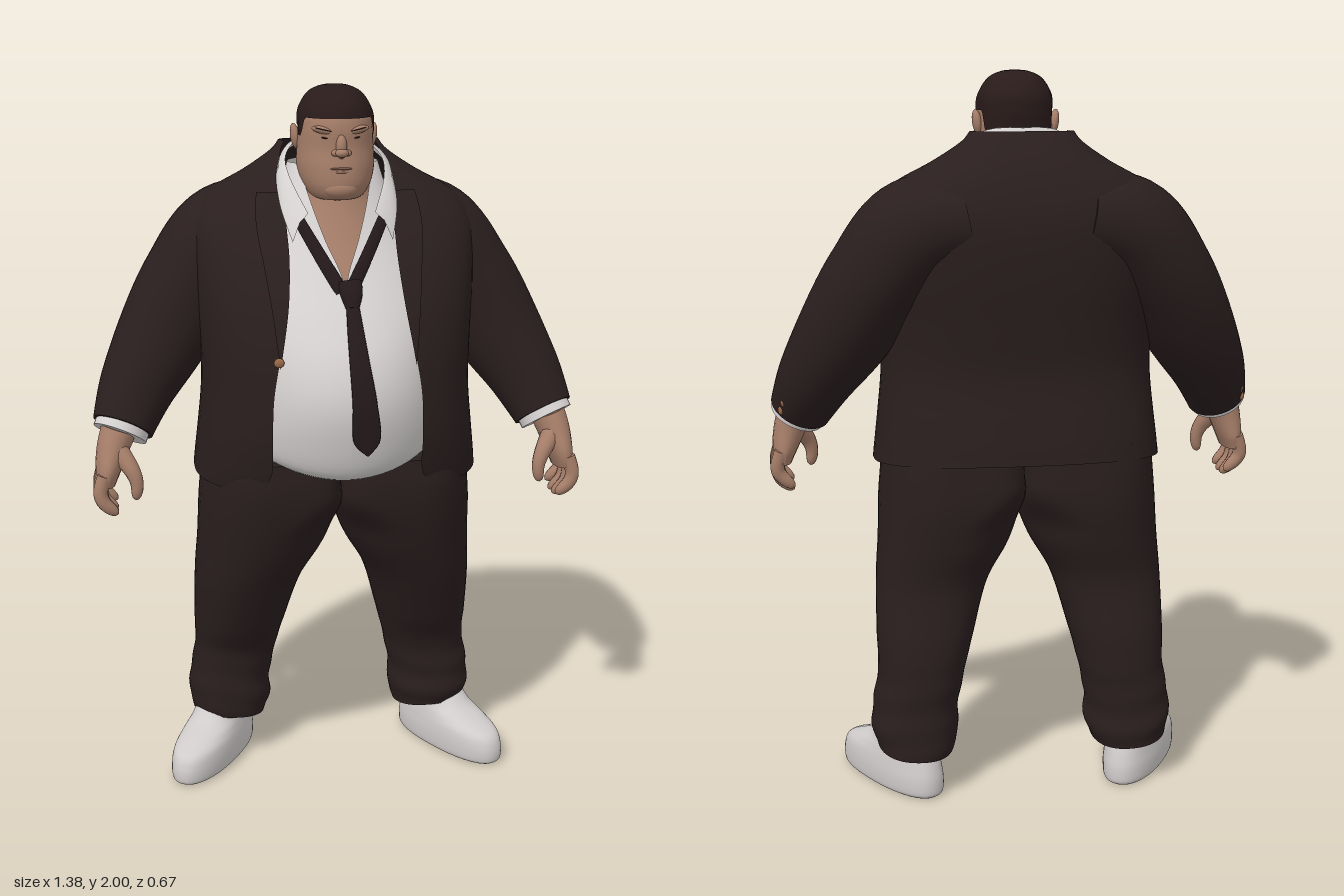
import * as THREE from 'three';

const V = (x, y, z) => new THREE.Vector3(x, y, z);
const mat = (name, color) => {
  const m = new THREE.MeshStandardMaterial({ color, side: THREE.DoubleSide });
  m.name = name;
  return m;
};
const spow = (v, e) => Math.sign(v) * Math.pow(Math.abs(v), e);
const smooth = THREE.MathUtils.smoothstep;

// Catmull-Rom through rows of numbers, t from 0 to 1
function spline(rows, t) {
  const n = rows.length - 1, f = Math.min(t * n, n - 1e-6), i = Math.floor(f), k = f - i;
  const at = (j) => rows[Math.min(n, Math.max(0, i + j))];
  return rows[i].map((b, c) => {
    const a = at(-1)[c], d = at(1)[c], g = at(2)[c];
    return b + 0.5 * k * (d - a + k * (2 * a - 5 * b + 4 * d - g + k * (3 * (b - d) + g - a)));
  });
}

// Skin over rows of points; closed rows wrap round
function surface(rows, closed) {
  const n = rows[0].length, idx = [];
  for (let i = 0; i < rows.length - 1; i++) {
    for (let j = 0; j < (closed ? n : n - 1); j++) {
      const a = i * n + j, b = i * n + (j + 1) % n;
      idx.push(a, b, b + n, a, b + n, a + n);
    }
  }
  const g = new THREE.BufferGeometry().setFromPoints(rows.flat());
  g.setIndex(idx);
  g.computeVertexNormals();
  return g;
}
const centre = (row) => row.reduce((s, p) => s.add(p), V(0, 0, 0)).divideScalar(row.length);
function closeEnds(rows) {
  const first = rows[0], last = rows[rows.length - 1], dup = (r) => r.map((p) => p.clone());
  const a = centre(first), b = centre(last);
  return [first.map(() => a.clone()), dup(first), ...rows, dup(last), last.map(() => b.clone())];
}

// Ring: centre x, y, centre z, half width, front z, back z, half opening. Angle 0 faces front.
function ringPoint([cx, y, cz, rx, zf, zb], a, e) {
  const c = Math.cos(a);
  return V(cx + rx * spow(Math.sin(a), e), y, cz + (c > 0 ? zf - cz : cz - zb) * spow(c, e));
}
const openAngle = (x, rx, e) => Math.asin(Math.pow(Math.min(1, Math.max(0, x) / rx), 1 / e));
function loft(rings, { e = 0.9, seg = 48, rows = 48, open = false, cap = false, warp } = {}) {
  const out = [];
  for (let i = 0; i <= rows; i++) {
    const r = spline(rings, i / rows), a0 = open ? openAngle(r[6], r[3], e) : 0, row = [];
    for (let j = 0; j < seg + (open ? 1 : 0); j++) {
      const a = a0 + (2 * Math.PI - 2 * a0) * j / seg, p = ringPoint(r, a, e);
      if (warp) warp(p, a, r);
      row.push(p);
    }
    out.push(row);
  }
  return surface(cap ? closeEnds(out) : out, !open);
}

// Limb along points [x, y, z, radius toward z, radius across]
function limb(pts, { seg = 20, rows = 24, round = false } = {}) {
  const out = [], pos = (t) => V(...spline(pts, t).slice(0, 3));
  for (let i = 0; i <= rows; i++) {
    const t = i / rows, s = spline(pts, t), c = pos(t);
    const d = pos(Math.min(1, t + 0.01)).sub(pos(Math.max(0, t - 0.01))).normalize();
    const u = V(0, 0, 1).addScaledVector(d, -d.z).normalize(), v = d.clone().cross(u);
    const k = round && t > 0.75 ? Math.sqrt(Math.max(0.02, 1 - ((t - 0.75) * 4) ** 2)) : 1;
    out.push(Array.from({ length: seg }, (_, j) => {
      const a = 2 * Math.PI * j / seg;
      return c.clone().addScaledVector(u, s[3] * k * Math.cos(a)).addScaledVector(v, s[4] * k * Math.sin(a));
    }));
  }
  return surface(closeEnds(out), true);
}

export function createModel() {
  const root = new THREE.Group();
  const suit = mat('suit cloth', 0x2a1e1e), shirt = mat('shirt cloth', 0xd8d3d3);
  const skin = mat('skin', 0xa67e69), hair = mat('hair', 0x291b1a), tieMat = mat('tie cloth', 0x24191a);
  const shoeMat = mat('shoe', 0xd0cbcb), gold = mat('button', 0x9a6a48), lip = mat('lips', 0x946c5a);
  const add = (name, geo, m) => {
    const o = new THREE.Mesh(geo, m);
    o.name = name;
    root.add(o);
    return o;
  };
  const blob = (name, m, p, s, rz = 0) => {
    const o = add(name, new THREE.SphereGeometry(1, 20, 14), m);
    o.position.set(...p);
    o.scale.set(...s);
    o.rotation.z = rz;
  };

  // Jacket, open at the front with rounded hem corners
  const jacket = [
    [0, 0.915, -0.03, 0.402, 0.225, -0.318, 0.30], [0, 0.935, -0.03, 0.40, 0.235, -0.316, 0.235],
    [0, 0.985, -0.03, 0.395, 0.252, -0.312, 0.206],
    [0, 1.08, -0.03, 0.385, 0.272, -0.30, 0.205], [0, 1.20, -0.03, 0.375, 0.275, -0.285, 0.20],
    [0, 1.32, -0.03, 0.378, 0.262, -0.30, 0.18], [0, 1.44, -0.05, 0.388, 0.225, -0.32, 0.16],
    [0, 1.55, -0.07, 0.395, 0.162, -0.33, 0.15], [0, 1.63, -0.09, 0.39, 0.10, -0.325, 0.15],
    [0, 1.70, -0.11, 0.345, 0.035, -0.30, 0.15], [0, 1.76, -0.12, 0.24, -0.02, -0.265, 0.15],
    [0, 1.81, -0.135, 0.165, -0.075, -0.22, 0.14], [0, 1.84, -0.14, 0.14, -0.11, -0.185, 0.125]];
  add('jacket', loft(jacket, {
    e: 0.8, open: true, seg: 72, rows: 72,
    warp: (p, a) => { p.y += 0.025 * (1 - Math.cos(a)) * Math.max(0, 1 - (p.y - 0.915) / 0.2); },
  }), suit);

  // Lapels lie just above the jacket front
  for (const s of [1, -1]) {
    const rows = [];
    for (let i = 0; i <= 24; i++) {
      const k = i / 24, r = spline(jacket, 0.39 + 0.38 * k), w = 0.08 * Math.sin(Math.PI * 0.65 * k);
      rows.push([0, 0.5, 1].map((f) => {
        const p = ringPoint(r, openAngle(r[6] - 0.004 + w * f, r[3], 0.8), 0.8);
        return V(s * p.x, p.y, p.z + 0.006);
      }));
    }
    add('lapel', surface(rows, false), suit);
  }

  // Shirt over the belly, open at the throat, with a curved lower edge
  add('shirt', loft([
    [0, 0.955, 0, 0.28, 0.215, -0.22, 0], [0, 0.985, 0, 0.30, 0.28, -0.24, 0], [0, 1.1, 0, 0.30, 0.32, -0.24, 0],
    [0, 1.2, 0, 0.30, 0.33, -0.24, 0], [0, 1.3, 0, 0.30, 0.305, -0.24, 0], [0, 1.4, 0, 0.30, 0.25, -0.24, 0],
    [0, 1.5, -0.02, 0.27, 0.186, -0.24, 0.005], [0, 1.6, -0.03, 0.22, 0.125, -0.23, 0.045],
    [0, 1.7, -0.04, 0.155, 0.078, -0.19, 0.078], [0, 1.79, -0.06, 0.125, 0.03, -0.17, 0.10]],
  {
    e: 1, open: true, seg: 60,
    warp: (p) => { p.y += 1.1 * p.x * p.x * Math.max(0, 1 - (p.y - 0.955) / 0.15); },
  }), shirt);

  // Turned-down collar: inner fold line to outer edge, one strip round the neck
  const fold = [[0, 1.849, -0.16], [0.08, 1.845, -0.13], [0.13, 1.807, -0.05], [0.128, 1.755, 0.035], [0.09, 1.672, 0.118]];
  const edge = [[0, 1.825, -0.178], [0.10, 1.82, -0.145], [0.155, 1.77, -0.05], [0.16, 1.69, 0.06], [0.135, 1.60, 0.142]];
  const around = (l) => [...l.slice(1).reverse().map(([x, y, z]) => [-x, y, z]), ...l];
  const strip = (l) => Array.from({ length: 41 }, (_, i) => V(...spline(around(l), i / 40)));
  const inner = strip(fold), outer = strip(edge);
  const mid = inner.map((p, i) => p.clone().lerp(outer[i], 0.4).add(V(p.x * 0.06, 0.008, 0)));
  add('shirtCollar', surface([outer, mid, inner], false), shirt);

  // Neck and bare chest
  add('neck', loft([
    [0, 1.42, -0.03, 0.25, 0.215, -0.2], [0, 1.5, -0.03, 0.22, 0.172, -0.2], [0, 1.6, -0.04, 0.17, 0.113, -0.19],
    [0, 1.7, -0.05, 0.115, 0.07, -0.155], [0, 1.8, -0.05, 0.10, 0.05, -0.14], [0, 1.87, -0.05, 0.09, 0.04, -0.125]],
  { e: 1, cap: true }), skin);

  // Head
  const head = [
    [0, 1.70, 0.03, 0.004, 0.035, 0.02], [0, 1.703, 0.02, 0.06, 0.095, -0.05], [0, 1.735, 0, 0.091, 0.117, -0.11],
    [0, 1.785, -0.01, 0.105, 0.117, -0.12], [0, 1.84, -0.01, 0.103, 0.109, -0.125], [0, 1.89, -0.01, 0.10, 0.11, -0.13],
    [0, 1.93, -0.015, 0.094, 0.099, -0.128], [0, 1.97, -0.02, 0.07, 0.066, -0.10], [0, 1.988, -0.02, 0.036, 0.025, -0.06],
    [0, 1.992, -0.02, 0.001, -0.019, -0.021]];
  add('head', loft(head, { e: 0.93 }), skin);

  // Cropped hair: same form, a little larger, above a hairline
  const hairRows = [];
  for (let i = 0; i <= 24; i++) {
    hairRows.push(Array.from({ length: 80 }, (_, j) => {
      const a = 2 * Math.PI * j / 80, back = Math.acos(Math.cos(a));
      const line = 5.65 - 1.1 * smooth(back, 1.05, 1.25) + 0.5 * smooth(back, 1.4, 1.55) - 1.6 * smooth(back, 1.9, 2.3);
      const p = ringPoint(spline(head, (line + (9 - line) * i / 24) / 9), a, 0.93);
      return p.add(V(p.x, p.y - 1.88, p.z + 0.02).multiplyScalar(0.025 + 0.04 * Math.min(1, i / 6)));
    }));
  }
  add('hair', surface(hairRows, true), hair);

  // Face
  blob('nose', skin, [0, 1.845, 0.11], [0.015, 0.032, 0.018]);
  blob('noseTip', skin, [0, 1.83, 0.12], [0.018, 0.012, 0.016]);
  blob('chin', skin, [0, 1.733, 0.092], [0.048, 0.028, 0.029]);
  blob('upperLip', lip, [0, 1.788, 0.112], [0.03, 0.004, 0.008]);
  blob('lowerLip', lip, [0, 1.779, 0.111], [0.024, 0.005, 0.008]);
  for (const s of [1, -1]) {
    blob('browRidge', skin, [s * 0.038, 1.886, 0.092], [0.04, 0.011, 0.016], s * 0.2);
    blob('eyebrow', hair, [s * 0.039, 1.888, 0.097], [0.033, 0.004, 0.0115], s * 0.22);
    blob('eye', hair, [s * 0.038, 1.867, 0.095], [0.014, 0.003, 0.009], s * 0.15);
    blob('nostril', skin, [s * 0.016, 1.829, 0.11], [0.011, 0.009, 0.012]);
    blob('ear', skin, [s * 0.106, 1.86, -0.035], [0.013, 0.035, 0.022], -s * 0.15);
  }

  // Loosened tie
  add('tieBlade', limb([[0.012, 1.46, 0.22, 0.006, 0.016], [0.015, 1.38, 0.27, 0.006, 0.022], [0.02, 1.3, 0.312, 0.006, 0.027],
    [0.03, 1.2, 0.335, 0.005, 0.033], [0.037, 1.1, 0.33, 0.005, 0.037], [0.04, 1.055, 0.326, 0.004, 0.003]]), tieMat);
  add('tieKnot', limb([[0.01, 1.5, 0.193, 0.014, 0.032], [0.012, 1.47, 0.212, 0.018, 0.03], [0.012, 1.435, 0.232, 0.012, 0.018]]), tieMat);
  for (const s of [1, -1]) {
    add('tieBand', limb([[s * 0.115, 1.655, 0.105, 0.006, 0.015], [s * 0.07, 1.575, 0.152, 0.006, 0.017],
      [s * 0.012, 1.475, 0.203, 0.006, 0.018]]), tieMat);
  }
  blob('jacketButton', gold, [-0.187, 1.3, 0.256], [0.014, 0.013, 0.007]);

  for (const s of [1, -1]) {
    const mir = (pts) => pts.map(([x, ...r]) => [s * x, ...r]);
    // Trouser leg: folds at the hem, inner side squared off at the top so the two meet as a seat
    add('trouserLeg', loft(mir([
      [0.308, 0.13, -0.143, 0.106, -0.022, -0.264], [0.306, 0.18, -0.143, 0.121, -0.012, -0.268],
      [0.304, 0.25, -0.14, 0.119, -0.015, -0.262], [0.286, 0.35, -0.135, 0.121, -0.005, -0.265],
      [0.273, 0.45, -0.12, 0.135, 0.045, -0.262], [0.249, 0.6, -0.09, 0.156, 0.115, -0.242],
      [0.211, 0.72, -0.07, 0.185, 0.165, -0.268], [0.192, 0.83, -0.05, 0.199, 0.20, -0.288],
      [0.19, 0.92, -0.05, 0.193, 0.216, -0.288], [0.187, 1.0, -0.05, 0.188, 0.213, -0.282]]), {
      cap: true, rows: 80,
      warp: (p, a, r) => {
        const low = Math.max(0, 1 - p.y / 0.45);
        const k = 1 + 0.03 * Math.sin(p.y * 70 + 2 * Math.sin(a + s)) * low;
        if (s * Math.sin(a) < 0) p.lerp(ringPoint(r, a, 0.4), smooth(p.y, 0.76, 0.9));
        p.x = r[0] + (p.x - r[0]) * k;
        p.z = r[2] + (p.z - r[2]) * k;
        p.y += (0.018 * Math.cos(a) + 0.012 * s * Math.sin(a)) * low;
      },
    }), suit);

    // Shoe, toe turned out
    const shoe = add('shoe', loft([
      [0, 0, 0, 0.068, 0.20, -0.195], [0, 0.012, 0, 0.08, 0.212, -0.206], [0, 0.05, 0, 0.083, 0.211, -0.206],
      [0, 0.085, 0, 0.08, 0.192, -0.198], [0, 0.11, -0.02, 0.075, 0.135, -0.19], [0, 0.135, -0.05, 0.07, 0.065, -0.184],
      [0, 0.175, -0.08, 0.066, 0.02, -0.178]], { e: 0.88, cap: true }), shoeMat);
    shoe.position.set(s * 0.363, 0, -0.07);
    shoe.rotation.y = s * 0.52;

    // Sleeve, shirt cuff and cuff buttons
    add('sleeve', limb(mir([
      [0.15, 1.61, -0.16, 0.165, 0.125], [0.29, 1.575, -0.148, 0.17, 0.145], [0.395, 1.45, -0.128, 0.156, 0.138],
      [0.476, 1.31, -0.09, 0.134, 0.13], [0.553, 1.18, -0.035, 0.109, 0.107], [0.6, 1.075, 0.022, 0.083, 0.086]]),
    { seg: 36, rows: 48 }), suit);
    add('shirtCuff', limb(mir([[0.59, 1.1, 0.01, 0.074, 0.077], [0.609, 1.058, 0.03, 0.074, 0.077]]), { seg: 30, rows: 4 }), shirt);
    for (const k of [0, 1]) blob('cuffButton', gold, [s * (0.655 - 0.008 * k), 1.085 + 0.025 * k, -0.047 - 0.012 * k], [0.008, 0.013, 0.009]);

    // Hand with curled fingers, palm inward
    add('palm', limb(mir([[0.612, 1.07, 0.03, 0.055, 0.05], [0.63, 1.02, 0.04, 0.064, 0.045],
      [0.645, 0.965, 0.048, 0.076, 0.036], [0.652, 0.925, 0.05, 0.07, 0.026]])), skin);
    for (let f = 0; f < 4; f++) {
      const z = -0.008 + 0.038 * f, drop = [0.015, 0, 0, 0.01][f];
      add('finger', limb(mir([[0.655, 0.96, z, 0.02, 0.021], [0.668, 0.915, z + 0.004, 0.02, 0.02],
        [0.658, 0.872 + drop, z + 0.006, 0.019, 0.019], [0.622, 0.84 + drop, z + 0.004, 0.016, 0.016]]),
      { seg: 12, rows: 18, round: true }), skin);
    }
    add('thumb', limb(mir([[0.615, 1.02, 0.07, 0.03, 0.03], [0.582, 0.975, 0.10, 0.024, 0.023],
      [0.568, 0.935, 0.11, 0.02, 0.018], [0.572, 0.89, 0.112, 0.016, 0.015]]), { seg: 12, rows: 18, round: true }), skin);
  }
  return root;
}
